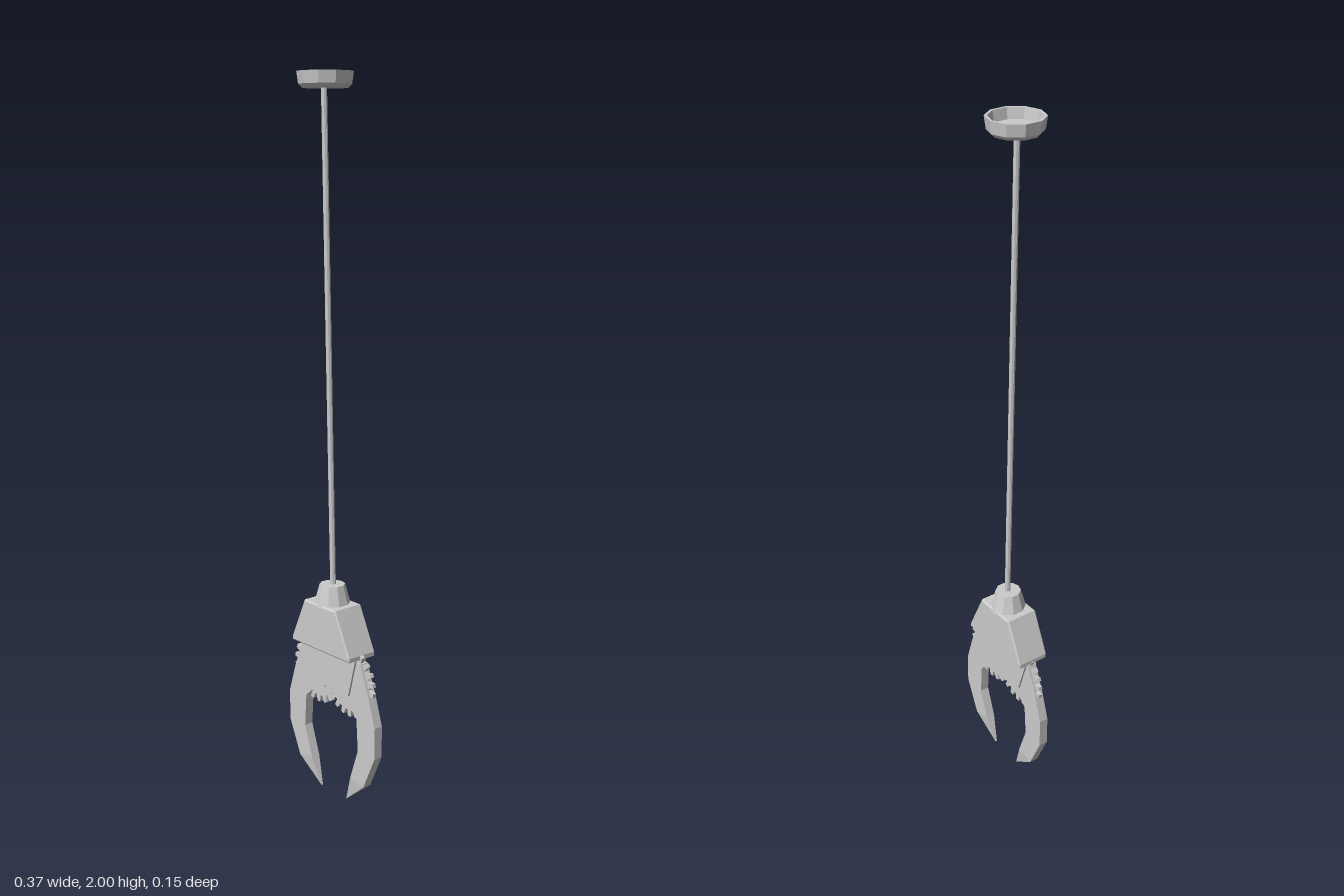
import * as THREE from 'three';

const material = new THREE.MeshStandardMaterial({ color: 0xcccccc, flatShading: true });
const doubleSided = new THREE.MeshStandardMaterial({ color: 0xcccccc, flatShading: true, side: THREE.DoubleSide });

function addMesh(parent, name, geometry, mat = material) {
  const mesh = new THREE.Mesh(geometry, mat);
  mesh.name = name;
  parent.add(mesh);
  return mesh;
}

// Flat outline extruded symmetrically about z = 0
function slab(points, depth, bevel = 0) {
  const shape = new THREE.Shape(points.map(([x, y]) => new THREE.Vector2(x, y)));
  const geometry = new THREE.ExtrudeGeometry(shape, {
    depth: depth - 2 * bevel,
    bevelEnabled: bevel > 0,
    bevelThickness: bevel,
    bevelSize: bevel,
    bevelOffset: -bevel,
    bevelSegments: 1,
  });
  return geometry.translate(0, 0, -depth / 2 + bevel);
}

// Gear outline with trapezoid teeth
function gearOutline(cx, cy, root, tip, teeth) {
  const points = [];
  for (let i = 0; i < teeth; i++) {
    for (const [offset, r] of [[0, root], [0.3, root], [0.42, tip], [0.82, tip]]) {
      const a = ((i + offset) / teeth) * Math.PI * 2;
      points.push([cx + r * Math.cos(a), cy + r * Math.sin(a)]);
    }
  }
  return points;
}

// Jaw blade, thinning to a point at the bottom
function jawGeometry(side) {
  const outline = [
    [0.125, 0.43], [0.16, 0.34], [0.185, 0.26], [0.185, 0.17], [0.14, 0.07], [0.055, 0],
    [0.085, 0.08], [0.116, 0.17], [0.11, 0.265], [0.085, 0.288], [0.03, 0.315], [0.03, 0.42],
  ];
  const geometry = slab(outline.map(([x, y]) => [x * side, y]), 0.027);
  const p = geometry.attributes.position;
  for (let i = 0; i < p.count; i++) {
    const taper = THREE.MathUtils.clamp(0.2 + p.getY(i) / 0.09, 0.2, 1);
    p.setZ(i, p.getZ(i) * taper);
  }
  geometry.computeVertexNormals();
  return geometry;
}

export function createModel() {
  const model = new THREE.Group();
  model.name = 'hangingClaw';

  // Open ten-sided ceiling cup
  const cupProfile = [
    [0, 1.958], [0.06, 1.958], [0.07, 1.968], [0.0745, 2], [0.067, 2], [0.063, 1.972], [0, 1.972],
  ].map(([r, y]) => new THREE.Vector2(r, y));
  const cup = addMesh(model, 'mountingCup', new THREE.LatheGeometry(cupProfile, 10), doubleSided);
  cup.position.x = -0.037;

  // Slightly leaning cable
  const cablePath = new THREE.LineCurve3(
    new THREE.Vector3(-0.037, 1.965, 0.004),
    new THREE.Vector3(-0.008, 0.61, -0.002),
  );
  addMesh(model, 'cable', new THREE.TubeGeometry(cablePath, 1, 0.008, 8));

  // Tapered collar where the cable enters the housing
  const collar = addMesh(model, 'collar', new THREE.CylinderGeometry(0.036, 0.052, 0.06, 10));
  collar.position.set(-0.009, 0.595, 0);

  // Housing
  addMesh(model, 'housing', slab([
    [-0.13, 0.438], [0.116, 0.438], [0.116, 0.45], [0.057, 0.572], [-0.075, 0.572], [-0.13, 0.45],
  ], 0.097, 0.004));

  // Front and back plates that hold the gears
  const plateOutline = [[-0.087, 0.325], [0.082, 0.325], [0.112, 0.44], [-0.123, 0.44]];
  for (const side of [1, -1]) {
    const plate = addMesh(model, side > 0 ? 'frontPlate' : 'backPlate', slab(plateOutline, 0.006));
    plate.position.z = side * 0.0175;
  }

  // Jaws with their gears; the gears sit a little apart so they pass each other
  for (const side of [1, -1]) {
    const jaw = new THREE.Group();
    jaw.name = side > 0 ? 'leftJaw' : 'rightJaw';
    jaw.position.z = side * 0.0006;
    model.add(jaw);
    addMesh(jaw, 'blade', jawGeometry(side));
    const gear = addMesh(jaw, 'gear', slab(gearOutline(side * 0.069, 0.36, 0.083, 0.102, 22), 0.011));
    gear.position.z = side * 0.0015;
  }

  return model;
}
